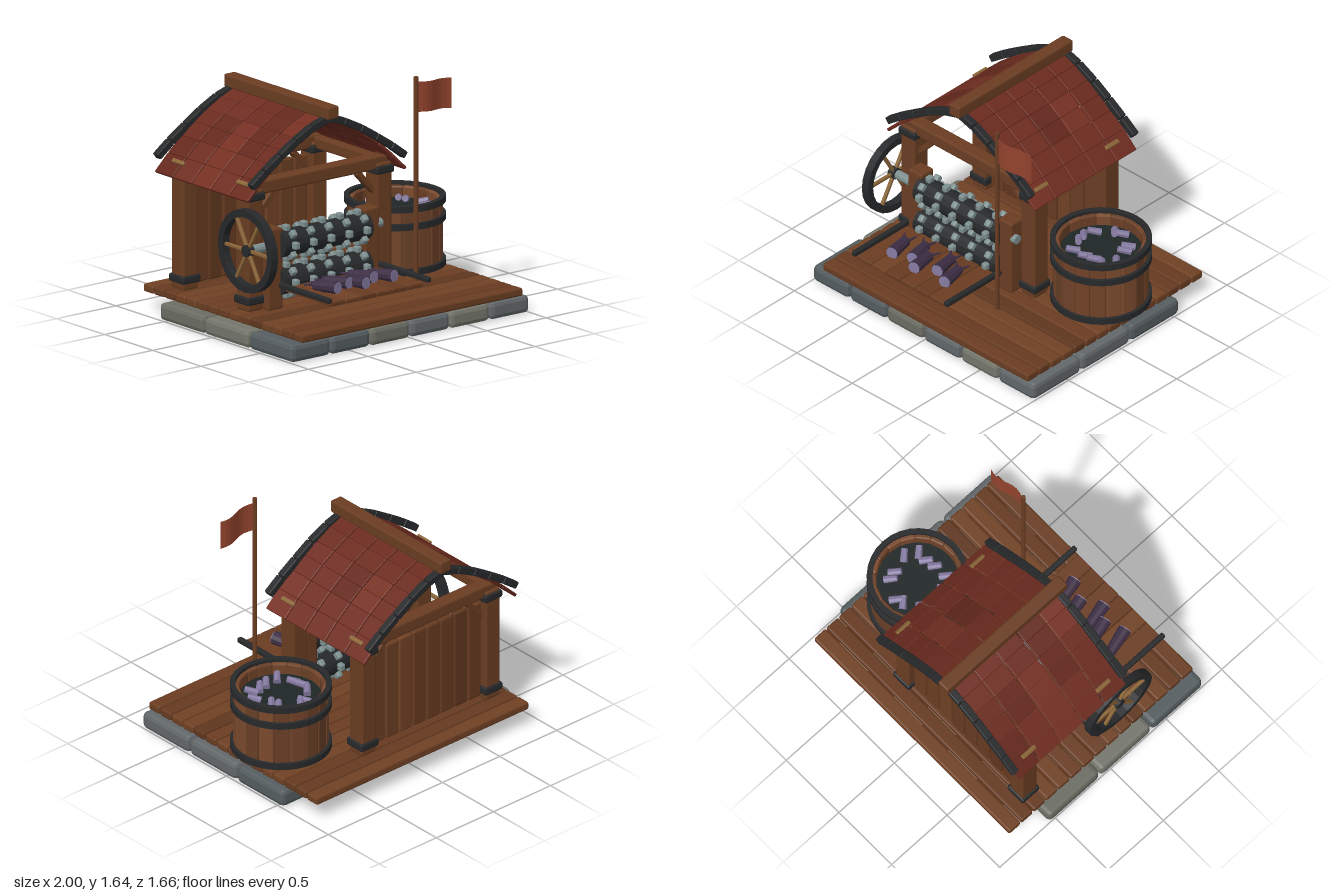
import * as THREE from 'three';
import { RoundedBoxGeometry } from 'three/addons/geometries/RoundedBoxGeometry.js';

const WOOD = 0x6a3d22, IRON = 0x26282a, STEEL = 0x7d8f90, ROOF = 0x6e2c20, OAK = 0x8a6538;
const DARK = 0x3d2e44, LILAC = 0x83789f;

let seed = 7;
const rnd = () => (seed = (seed * 16807) % 2147483647) / 2147483647;
const mats = {};
const mat = (c) => (mats[c] ??= new THREE.MeshStandardMaterial({ color: c, flatShading: true }));
// One of a few lighter or darker versions of a colour
const vary = (c) => new THREE.Color(c).multiplyScalar([0.8, 0.92, 1, 1.12][Math.floor(rnd() * 4)]).getHex();

function add(parent, name, geo, color, x = 0, y = 0, z = 0) {
  const m = new THREE.Mesh(geo, mat(color));
  m.name = name;
  m.position.set(x, y, z);
  parent.add(m);
  return m;
}
// Box with chamfered edges
function box(parent, name, color, w, h, d, x, y, z, bevel = 0.012) {
  const r = Math.min(bevel, 0.25 * Math.min(w, h, d));
  return add(parent, name, new RoundedBoxGeometry(w, h, d, 1, r), color, x, y, z);
}
// Bar between two points in the x-y plane, with depth d along z
function bar(parent, name, color, x0, y0, x1, y1, t, d, z, gap = 0) {
  const len = Math.hypot(x1 - x0, y1 - y0) - gap;
  const m = box(parent, name, color, len, t, d, (x0 + x1) / 2, (y0 + y1) / 2, z, 0.006);
  m.rotation.z = Math.atan2(y1 - y0, x1 - x0);
  return m;
}
// Square-section ring around y
function ring(ro, ri, h, n = 24) {
  const p = [[ro, -h / 2], [ro, h / 2], [ri, h / 2], [ri, -h / 2], [ro, -h / 2]];
  return new THREE.LatheGeometry(p.map(([a, b]) => new THREE.Vector2(a, b)), n);
}
function group(parent, name, x = 0, y = 0, z = 0) {
  const g = new THREE.Group();
  g.name = name;
  g.position.set(x, y, z);
  parent.add(g);
  return g;
}

function base(root) {
  const g = group(root, 'base');
  const stones = [0x555d60, 0x6b6c62, 0x62676a, 0x74766c];
  for (let i = 0; i < 6; i++)
    for (let j = 0; j < 3; j++)
      box(g, 'stone', stones[Math.floor(rnd() * 4)], 0.325, 0.12, 0.455,
        -0.8375 + i * 0.335, 0.06, 0.605 - j * 0.465, 0.03);
  for (let i = 0; i < 15; i++)
    box(g, 'deckPlank', vary(WOOD), 1.855, 0.055, 0.102, 0.0175, 0.148, 0.777 - i * 0.111);
}

const POST_X = [-0.77, 0.315], POST_Z = [0.105, -0.568];

function frame(root) {
  const g = group(root, 'frame');
  for (const x of POST_X)
    for (const z of POST_Z) {
      box(g, 'post', WOOD, 0.122, 0.82, 0.13, x, 0.585, z);
      box(g, 'postFoot', IRON, 0.15, 0.055, 0.155, x, 0.247, z);
      box(g, 'postCollar', IRON, 0.15, 0.055, 0.155, x, 0.948, z);
    }
  for (const z of POST_Z) {
    box(g, 'crossBeam', WOOD, 1.17, 0.09, 0.1, -0.2275, 0.995, z);
    bar(g, 'brace', WOOD, -0.72, 0.8, -0.58, 0.95, 0.04, 0.05, z);
    bar(g, 'brace', WOOD, 0.265, 0.8, 0.125, 0.95, 0.04, 0.05, z);
  }
  for (const x of POST_X) box(g, 'sideBeam', WOOD, 0.08, 0.08, 0.6, x, 0.99, -0.23);
  for (let i = 0; i < 8; i++)
    box(g, 'wallPlank', vary(WOOD), 0.11, 0.71, 0.045, -0.647 + i * 0.12, 0.555, -0.568);
}

function roof(root) {
  const g = group(root, 'roof', -0.225);
  const curve = (d) => 1.405 - 0.35 * d - 0.51 * d * d;
  const rows = [0, 0.235, 0.44, 0.665];
  const rim = [[0, 1.405], [0.13, 1.365], [0.27, 1.295], [0.4, 1.215], [0.53, 1.13], [0.645, 1.045]];
  for (const s of [-1, 1]) {
    // Curved shingles, two facets each
    for (let r = 0; r < 3; r++)
      for (let k = 0; k < 5; k++) {
        const c = vary(ROOF), a = rows[r], b = rows[r + 1], m = (a + b) / 2;
        for (const [p, q] of [[a, m], [m, b]])
          bar(g, 'shingle', c, s * p, curve(p), s * q, curve(q), 0.022, 0.186, 0.143 - k * 0.194);
      }
    // Dark edging at both gables
    for (const z of [0.241, -0.737])
      for (let i = 0; i < 5; i++)
        bar(g, 'roofEdge', IRON, s * rim[i][0], rim[i][1], s * rim[i + 1][0], rim[i + 1][1], 0.048, 0.053, z, 0.004);
    for (const z of [0.1, -0.57]) {
      const peg = box(g, 'roofPeg', OAK, 0.03, 0.025, 0.12, s * 0.595, 1.035, z);
      peg.rotation.z = -s * 0.75;
    }
  }
  box(g, 'ridgeBeam', WOOD, 0.092, 0.088, 1.085, 0, 1.452, -0.238);
}

function crusher(root) {
  const g = group(root, 'crusher');
  for (const x of [-0.65, 0.165]) box(g, 'bearingPost', WOOD, 0.12, 0.55, 0.12, x, 0.45, 0.17);
  const rod = (name, color, r, x0, x1, y, n = 12) => {
    const m = add(g, name, new THREE.CylinderGeometry(r, r, x1 - x0, n), color, (x0 + x1) / 2, y, 0.2);
    m.rotation.z = Math.PI / 2;
    return m;
  };
  rod('axle', STEEL, 0.024, -0.88, 0.255, 0.607);
  rod('axleEnd', STEEL, 0.032, -0.83, -0.71, 0.607);
  rod('axleEnd', STEEL, 0.032, 0.215, 0.255, 0.607);
  rod('lowerAxle', STEEL, 0.024, -0.7, 0.2, 0.355);
  for (const y of [0.607, 0.355]) {
    rod('roller', IRON, 0.09, -0.612, 0.125, y, 16);
    for (let i = 0; i < 5; i++)
      for (let k = 0; k < 8; k++) {
        const a = (k * Math.PI) / 4;
        const t = box(g, 'tooth', STEEL, 0.043, 0.05, 0.05, -0.54 + i * 0.15,
          y + 0.1 * Math.sin(a), 0.2 + 0.1 * Math.cos(a));
        t.rotation.x = -a;
      }
  }
  // Drive wheel
  const w = group(g, 'driveWheel', -0.86, 0.607, 0.2);
  add(w, 'wheelRim', ring(0.28, 0.23, 0.055), IRON).rotation.z = Math.PI / 2;
  add(w, 'wheelHub', new THREE.CylinderGeometry(0.04, 0.04, 0.05, 12), IRON).rotation.z = Math.PI / 2;
  for (let k = 0; k < 6; k++) {
    const a = (k * Math.PI) / 3;
    const s = box(w, 'spoke', OAK, 0.024, 0.024, 0.215, 0, 0.135 * Math.sin(a), 0.135 * Math.cos(a));
    s.rotation.x = -a;
  }
}

function tray(root) {
  const g = group(root, 'tray');
  for (let i = 0; i < 6; i++)
    box(g, 'trayPlank', vary(WOOD), 0.125, 0.03, 0.48, -0.575 + i * 0.13, 0.33, 0.545);
  for (const x of [-0.657, 0.177]) box(g, 'trayRail', IRON, 0.036, 0.036, 0.515, x, 0.358, 0.545);
  // Bundles: tapered body, pale front end, two stalks at the back
  const spots = [[-0.485, 0.55, 0.25], [-0.35, 0.5, 0.28], [-0.26, 0.57, 0.2], [-0.13, 0.49, 0.22], [-0.01, 0.55, 0.25]];
  spots.forEach(([x, z, turn], i) => {
    const b = group(g, 'bundle', x, 0.372, z);
    b.rotation.set(-0.08, Math.PI - -turn, 0);
    const body = add(b, 'bundleBody', new THREE.CylinderGeometry(0.036, 0.046, 0.18, 10), DARK);
    body.rotation.x = Math.PI / 2;
    const end = add(b, 'bundleEnd', new THREE.CylinderGeometry(0.038, 0.042, 0.008, 10), LILAC, 0, 0, -0.092);
    end.rotation.x = Math.PI / 2;
    for (const s of [-1, 1]) {
      const stalk = add(b, 'stalk', new THREE.CylinderGeometry(0.006, 0.012, 0.09, 6), DARK, s * 0.028, 0.012, 0.11);
      stalk.rotation.set(Math.PI / 2, 0, -s * (0.3 + 0.08 * (i % 3)));
    }
  });
}

function barrel(root) {
  const g = group(root, 'barrel', 0.665, 0, -0.158);
  const n = 18;
  for (let i = 0; i < n; i++) {
    const a = (i / n) * Math.PI * 2;
    const s = box(g, 'stave', vary(0x74452a), 0.104, 0.45, 0.042, 0.29 * Math.sin(a), 0.405, 0.29 * Math.cos(a));
    s.rotation.y = a;
  }
  for (const y of [0.63, 0.51, 0.203]) add(g, 'hoop', ring(0.335, 0.298, 0.043, 32), IRON, 0, y, 0);
  add(g, 'contents', new THREE.CylinderGeometry(0.272, 0.272, 0.37, 24), 0x1f2626, 0, 0.37, 0);
  for (let i = 0; i < 12; i++) {
    const a = (i / 12) * Math.PI * 2 + rnd() * 0.3, r = 0.15 + rnd() * 0.05;
    const p = add(g, 'piece', new THREE.CylinderGeometry(0.022, 0.026, 0.09, 8), LILAC,
      r * Math.cos(a), 0.578, r * Math.sin(a));
    p.rotation.set(Math.PI / 2 - 0.35, 0, 0.7 * (rnd() < 0.75 ? 1 : -1));
  }
}

function flag(root) {
  const g = group(root, 'flag', 0.33, 0, 0.475);
  add(g, 'flagPole', new THREE.CylinderGeometry(0.015, 0.015, 1.405, 8), WOOD, 0, 0.937, 0);
  // Cloth rippled along its length and sagging at the free end
  const cloth = new THREE.PlaneGeometry(0.295, 0.205, 8, 1);
  const p = cloth.attributes.position;
  for (let i = 0; i < p.count; i++) {
    const u = p.getX(i) / 0.295 + 0.5;
    p.setXYZ(i, p.getX(i), p.getY(i) - 0.025 * u, 0.018 * Math.sin(u * 6));
  }
  const m = add(g, 'flagCloth', cloth, 0x93432d, 0.157, 1.502, 0);
  m.material = new THREE.MeshStandardMaterial({ color: 0x93432d, side: THREE.DoubleSide, flatShading: true });
}

export function createModel() {
  const root = new THREE.Group();
  root.name = 'crushingMill';
  for (const build of [base, frame, roof, crusher, tray, barrel, flag]) build(root);
  return root;
}
